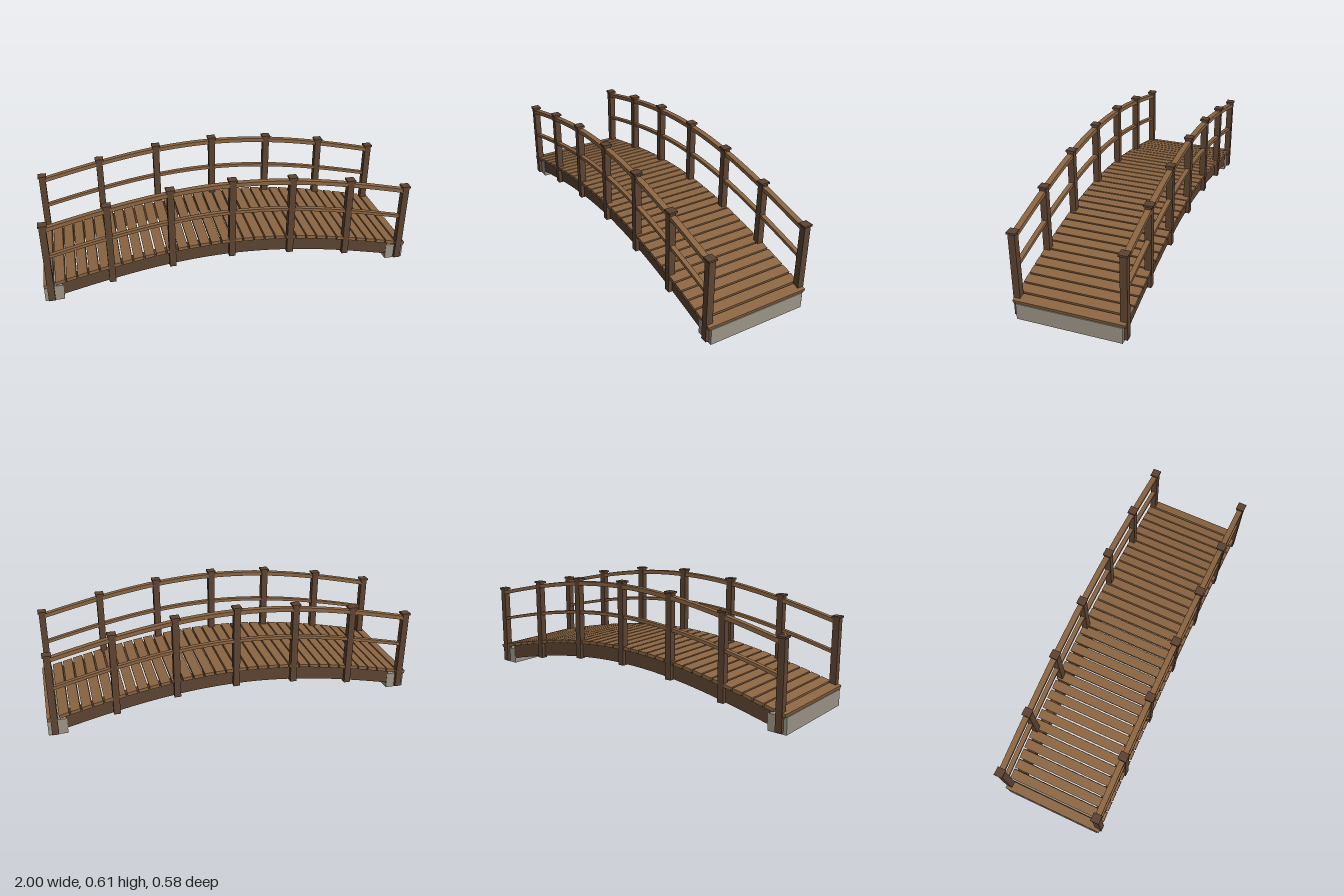
import * as THREE from 'three';

const RISE = 0.153;
// Height of the arch curve above its springing line, and its slope
const arch = x => RISE * Math.cos(x * Math.PI / 2);
const slope = x => -RISE * Math.PI / 2 * Math.sin(x * Math.PI / 2);

const plankWood = new THREE.MeshStandardMaterial({ color: 0x8b6542 });
plankWood.name = 'plank wood';
const darkWood = new THREE.MeshStandardMaterial({ color: 0x5c4332 });
darkWood.name = 'dark wood';
const concrete = new THREE.MeshStandardMaterial({ color: 0x9a9386 });
concrete.name = 'concrete';

function box(parent, name, mat, w, h, d, x, y, z) {
  const mesh = new THREE.Mesh(new THREE.BoxGeometry(w, h, d), mat);
  mesh.name = name;
  mesh.position.set(x, y, z);
  parent.add(mesh);
  return mesh;
}

// Beam following the arch between two vertical offsets, centred on z
function archBeam(parent, name, mat, bottom, top, halfLength, depth, z) {
  const n = 36, lower = [], upper = [];
  for (let i = 0; i <= n; i++) {
    const x = -halfLength + 2 * halfLength * i / n;
    lower.push(new THREE.Vector2(x, arch(x) + bottom));
    upper.unshift(new THREE.Vector2(x, arch(x) + top));
  }
  const geo = new THREE.ExtrudeGeometry(new THREE.Shape([...lower, ...upper]), { depth, bevelEnabled: false });
  geo.translate(0, 0, z - depth / 2);
  const mesh = new THREE.Mesh(geo, mat);
  mesh.name = name;
  parent.add(mesh);
}

export function createModel() {
  const bridge = new THREE.Group();
  bridge.name = 'archedFootbridge';

  // Deck planks, each tilted along the arch
  const deck = new THREE.Group();
  deck.name = 'deck';
  bridge.add(deck);
  const count = 34, pitch = 2 / count, thick = 0.018;
  for (let i = 0; i < count; i++) {
    const x = -1 + pitch * (i + 0.5);
    const angle = Math.atan(slope(x));
    const plank = box(deck, 'plank', plankWood, (pitch - 0.008) / Math.cos(angle), thick, 0.568,
      x, arch(x) + 0.104 - thick / 2, 0);
    plank.rotation.z = angle;
    if (i === 0 || i === count - 1) plank.position.x += Math.sign(x) * 0.002;
  }

  // Stringers, posts and rails on both sides
  for (const side of [1, -1]) {
    const railing = new THREE.Group();
    railing.name = side > 0 ? 'frontRailing' : 'backRailing';
    bridge.add(railing);
    archBeam(bridge, 'stringer', darkWood, 0.007, 0.086, 0.905, 0.052, side * 0.241);
    archBeam(railing, 'topRail', plankWood, 0.416, 0.438, 0.96, 0.03, side * 0.27);
    archBeam(railing, 'middleRail', plankWood, 0.257, 0.274, 0.96, 0.024, side * 0.27);
    for (let k = -3; k <= 3; k++) {
      const x = k * 0.3217, y = arch(x);
      box(railing, 'post', darkWood, 0.035, 0.446, 0.035, x, y + 0.224, side * 0.2695);
      box(railing, 'postCap', darkWood, 0.046, 0.01, 0.046, x, y + 0.452, side * 0.2695);
    }
  }

  // Abutments under both ends
  for (const s of [1, -1]) box(bridge, 'abutment', concrete, 0.1, 0.087, 0.538, s * 0.95, 0.0435, 0);

  return bridge;
}
